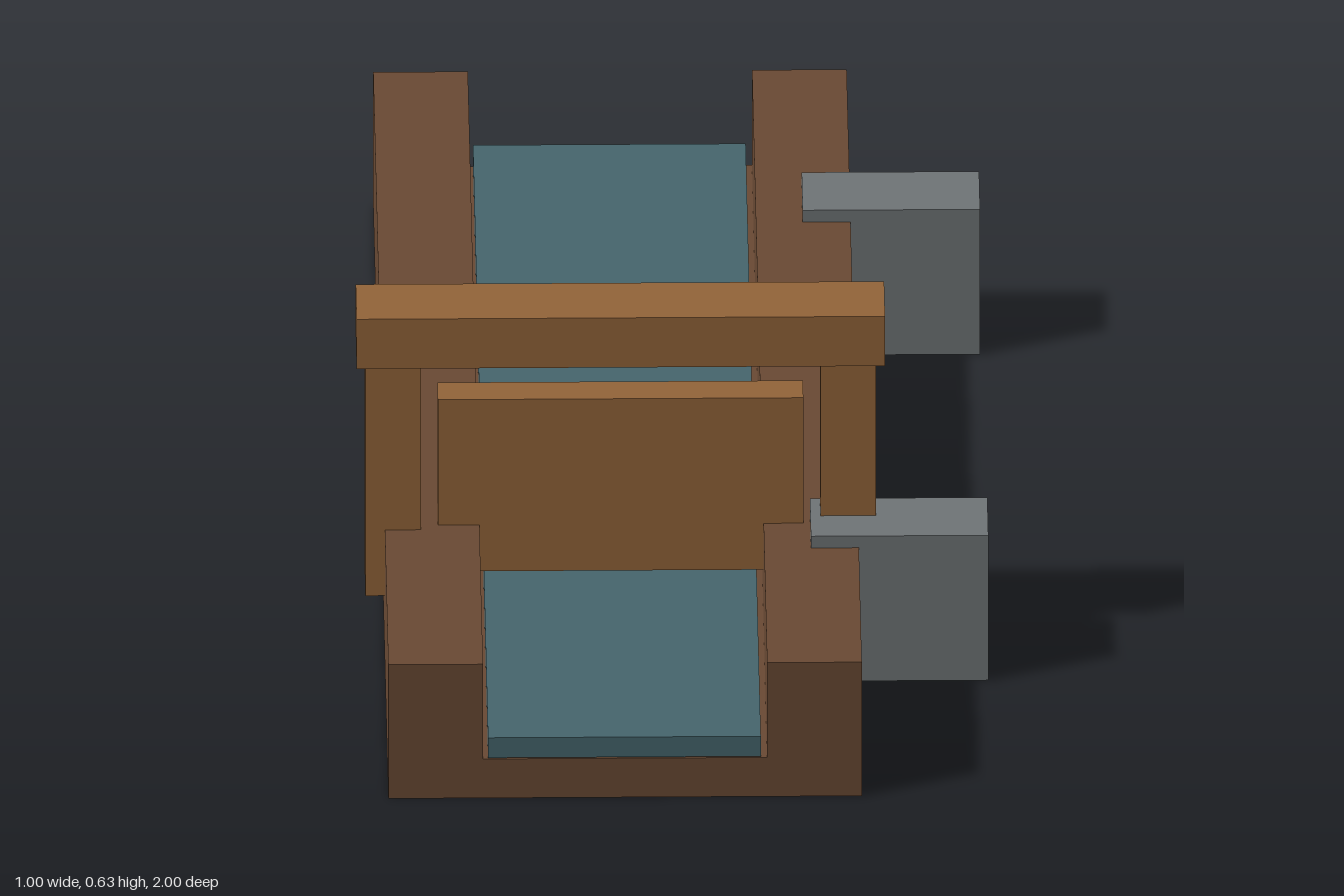
import * as THREE from 'three';

const material = (name, color) => {
  const m = new THREE.MeshStandardMaterial({ color });
  m.name = name;
  return m;
};

export function createModel() {
  const darkWood = material('dark wood', 0x6a4a34);
  const lightWood = material('light wood', 0x94653a);
  const water = material('water', 0x46666e);
  const stone = material('stone', 0x707577);
  const model = new THREE.Group();
  model.name = 'sluice';

  // Box given by its extents along each axis
  const box = (name, mat, [x0, x1], [y0, y1], [z0, z1], parent = model) => {
    const mesh = new THREE.Mesh(new THREE.BoxGeometry(x1 - x0, y1 - y0, z1 - z0), mat);
    mesh.position.set((x0 + x1) / 2, (y0 + y1) / 2, (z0 + z1) / 2);
    mesh.name = name;
    parent.add(mesh);
    return mesh;
  };

  // U-shaped trough extruded along z
  const section = new THREE.Shape([
    [-0.455, 0], [0.295, 0], [0.295, 0.24], [0.145, 0.24],
    [0.145, 0.07], [-0.305, 0.07], [-0.305, 0.24], [-0.455, 0.24],
  ].map(([x, y]) => new THREE.Vector2(x, y)));
  const trough = new THREE.Mesh(
    new THREE.ExtrudeGeometry(section, { depth: 2, bevelEnabled: false }), darkWood);
  trough.position.z = -1;
  trough.name = 'trough';
  model.add(trough);

  // Sheet of water on the trough floor
  box('waterSheet', water, [-0.297, 0.135], [0.072, 0.108], [-1, 1]);

  // Gate frame: two posts, a crossbeam and the raised gate board
  const frame = new THREE.Group();
  frame.name = 'gateFrame';
  model.add(frame);
  box('rightPost', lightWood, [-0.486, -0.398], [0.122, 0.537], [0.457, 0.545], frame);
  box('leftPost', lightWood, [0.235, 0.323], [0.122, 0.537], [0.457, 0.545], frame);
  box('crossbeam', lightWood, [-0.5, 0.337], [0.537, 0.626], [0.442, 0.56], frame);
  box('gateBoard', lightWood, [-0.371, 0.208], [0.157, 0.465], [0.472, 0.53], frame);

  // Stone buttresses lapping over the left wall
  for (const z of [-0.55, 0.55]) {
    box('buttress', stone, [0.219, 0.5], [0.001, 0.261], [z - 0.064, z + 0.064]);
  }
  return model;
}
